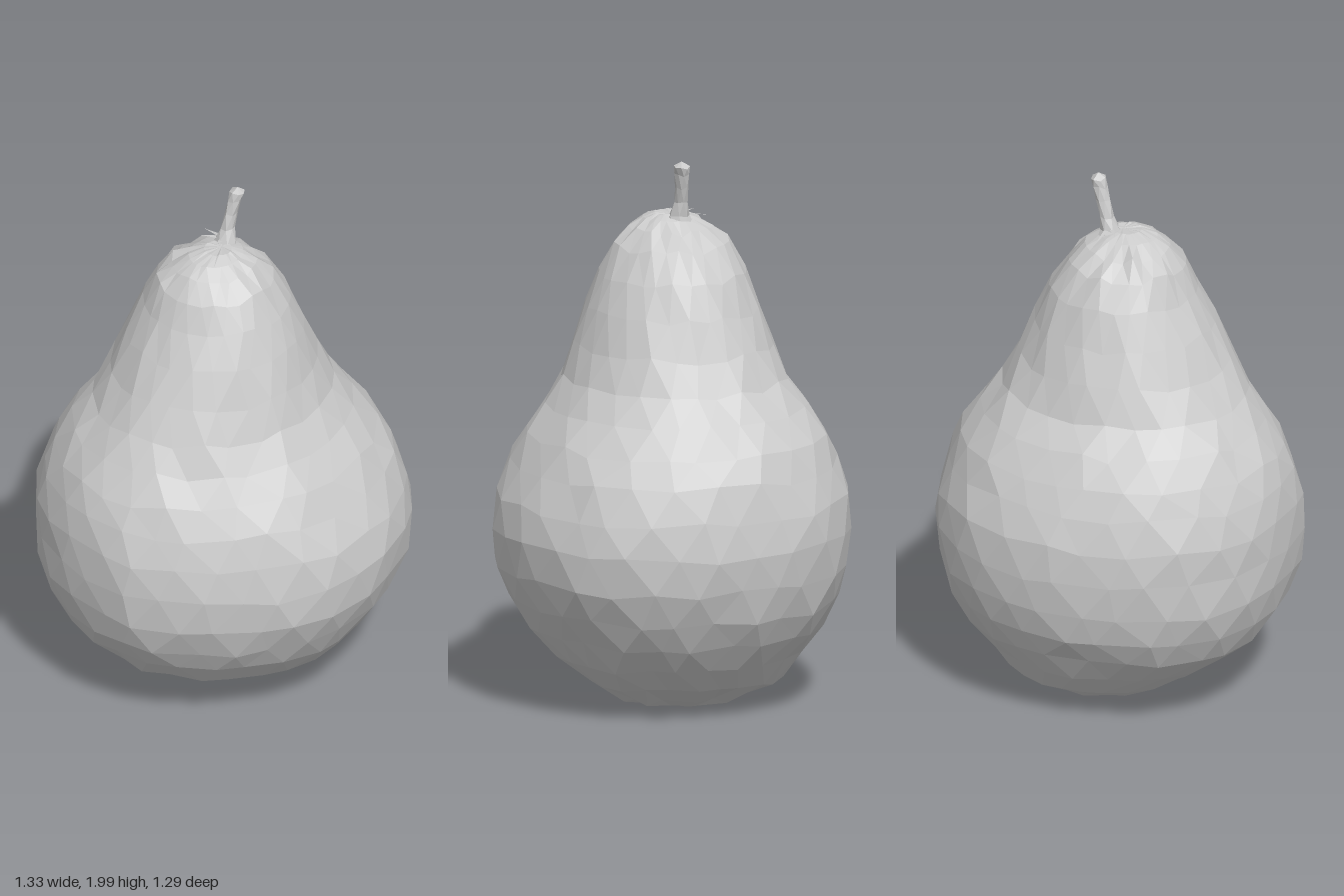
import * as THREE from 'three';

const SIDES = 26;

// small seeded noise in [-1, 1]
function makeNoise(seed) {
  return () => {
    seed = (seed * 16807) % 2147483647;
    return (seed / 2147483647) * 2 - 1;
  };
}

// skin a stack of equal rings (bottom to top), closed by a point at each end
function skin(rings, bottom, top) {
  const n = rings[0].length;
  const pos = rings.flat().concat([bottom, top]).flat();
  const idx = [];
  const b = rings.length * n, t = b + 1;
  for (let j = 0; j < n; j++) {
    const k = (j + 1) % n;
    idx.push(b, j, k);
    for (let i = 0; i < rings.length - 1; i++) {
      const p = i * n, q = p + n;
      // odd rings are shifted by half a step, so the diagonal alternates
      if (i % 2) idx.push(p + j, q + k, p + k, p + j, q + j, q + k);
      else idx.push(p + j, q + j, p + k, p + k, q + j, q + k);
    }
    const l = (rings.length - 1) * n;
    idx.push(l + j, t, l + k);
  }
  const g = new THREE.BufferGeometry();
  g.setAttribute('position', new THREE.Float32BufferAttribute(pos, 3));
  g.setIndex(idx);
  g.computeVertexNormals();
  return g;
}

// fruit outline: height, right x, left x, back z, front z
const OUTLINE = [
  [0.012, -0.09, 0.19, -0.11, 0.08],
  [0.04, -0.17, 0.27, -0.28, 0.22],
  [0.11, -0.30, 0.41, -0.395, 0.33],
  [0.20, -0.46, 0.49, -0.475, 0.44],
  [0.30, -0.56, 0.56, -0.55, 0.52],
  [0.40, -0.615, 0.615, -0.605, 0.585],
  [0.52, -0.655, 0.655, -0.63, 0.633],
  [0.65, -0.67, 0.67, -0.642, 0.645],
  [0.78, -0.663, 0.655, -0.635, 0.62],
  [0.90, -0.64, 0.62, -0.60, 0.57],
  [1.00, -0.605, 0.575, -0.56, 0.51],
  [1.10, -0.545, 0.50, -0.50, 0.435],
  [1.20, -0.48, 0.43, -0.43, 0.375],
  [1.32, -0.41, 0.37, -0.385, 0.33],
  [1.45, -0.345, 0.315, -0.34, 0.288],
  [1.58, -0.28, 0.26, -0.29, 0.242],
  [1.68, -0.235, 0.19, -0.235, 0.19],
  [1.74, -0.18, 0.13, -0.175, 0.13],
  [1.775, -0.13, 0.08, -0.11, 0.08],
  [1.793, -0.07, 0.03, -0.06, 0.04],
];

function fruitGeometry() {
  const noise = makeNoise(421);
  const rings = OUTLINE.map(([y, x0, x1, z0, z1], i) => {
    const cx = (x0 + x1) / 2, cz = (z0 + z1) / 2;
    const body = THREE.MathUtils.smoothstep(1.45 - y, 0, 0.45);
    const rough = i > 0 && i < OUTLINE.length - 2 ? 1 : 0.2;
    return Array.from({ length: SIDES }, (_, j) => {
      const a = ((j + (i % 2) / 2 + 0.2 * noise()) / SIDES) * Math.PI * 2;
      const c = Math.cos(a), s = Math.sin(a);
      // slightly square plan, flattened at the front right
      const corner = (c < 0 && s > 0 ? -0.06 : 0.04) * Math.sin(2 * a) ** 2 * body;
      const r = 1 + corner + 0.008 * noise();
      return [
        cx + ((x1 - x0) / 2) * c * r,
        y + 0.014 * noise() * rough,
        cz + ((z1 - z0) / 2) * s * r,
      ];
    });
  });
  return skin(rings, [0.04, 0.05, 0], [0.0, 1.79, -0.01]);
}

// stem: height, centre x, centre z, radius
const STEM = [
  [1.74, 0.04, -0.03, 0.055],
  [1.79, 0.042, -0.03, 0.04],
  [1.84, 0.057, -0.03, 0.028],
  [1.90, 0.07, -0.027, 0.025],
  [1.95, 0.083, -0.02, 0.025],
  [1.98, 0.092, -0.018, 0.028],
];

function stemGeometry() {
  const noise = makeNoise(77);
  const rings = STEM.map(([y, x, z, r], i) =>
    Array.from({ length: 7 }, (_, j) => {
      const a = ((j + (i % 2) / 2) / 7) * Math.PI * 2;
      const q = r * (1 + 0.15 * noise());
      return [x + q * Math.cos(a), y + 0.006 * noise(), z + q * Math.sin(a)];
    }));
  return skin(rings, [0.04, 1.73, -0.03], [0.092, 2.0, -0.016]);
}

// thin pointed flake from a base point to a tip
function flake(base, tip, width) {
  const b = new THREE.Vector3(...base), t = new THREE.Vector3(...tip);
  const side = new THREE.Vector3(t.z - b.z, 0, b.x - t.x).setLength(width / 2);
  return new THREE.BufferGeometry().setFromPoints([b.clone().add(side), t, b.clone().sub(side)]);
}

export function createModel() {
  const model = new THREE.Group();
  model.name = 'pear';
  const solid = new THREE.MeshStandardMaterial({ color: 0xcccccc, flatShading: true });
  const thin = new THREE.MeshStandardMaterial({
    color: 0xcccccc, flatShading: true, side: THREE.DoubleSide,
  });
  const add = (name, geometry, material, parent = model) => {
    if (!geometry.attributes.normal) geometry.computeVertexNormals();
    const mesh = new THREE.Mesh(geometry, material);
    mesh.name = name;
    parent.add(mesh);
  };

  add('fruit', fruitGeometry(), solid);
  add('stem', stemGeometry(), solid);

  // frayed bits around the foot of the stem
  const fray = new THREE.Group();
  fray.name = 'stemFray';
  model.add(fray);
  for (const tip of [[-0.01, 1.8, -0.11], [0.05, 1.785, -0.14], [-0.03, 1.805, -0.02]])
    add('stemFlake', flake([0.04, 1.8, -0.03], tip, 0.025), thin, fray);

  // dried blossom end in the hollow underneath
  const calyx = new THREE.Group();
  calyx.name = 'calyx';
  model.add(calyx);
  for (let i = 0; i < 5; i++) {
    const a = (i / 5) * Math.PI * 2 + 0.3;
    const c = Math.cos(a), s = Math.sin(a);
    add('sepal', flake([0.04 + 0.015 * c, 0.035, 0.015 * s],
      [0.04 + 0.085 * c, 0.006, 0.085 * s], 0.035), thin, calyx);
  }
  return model;
}
